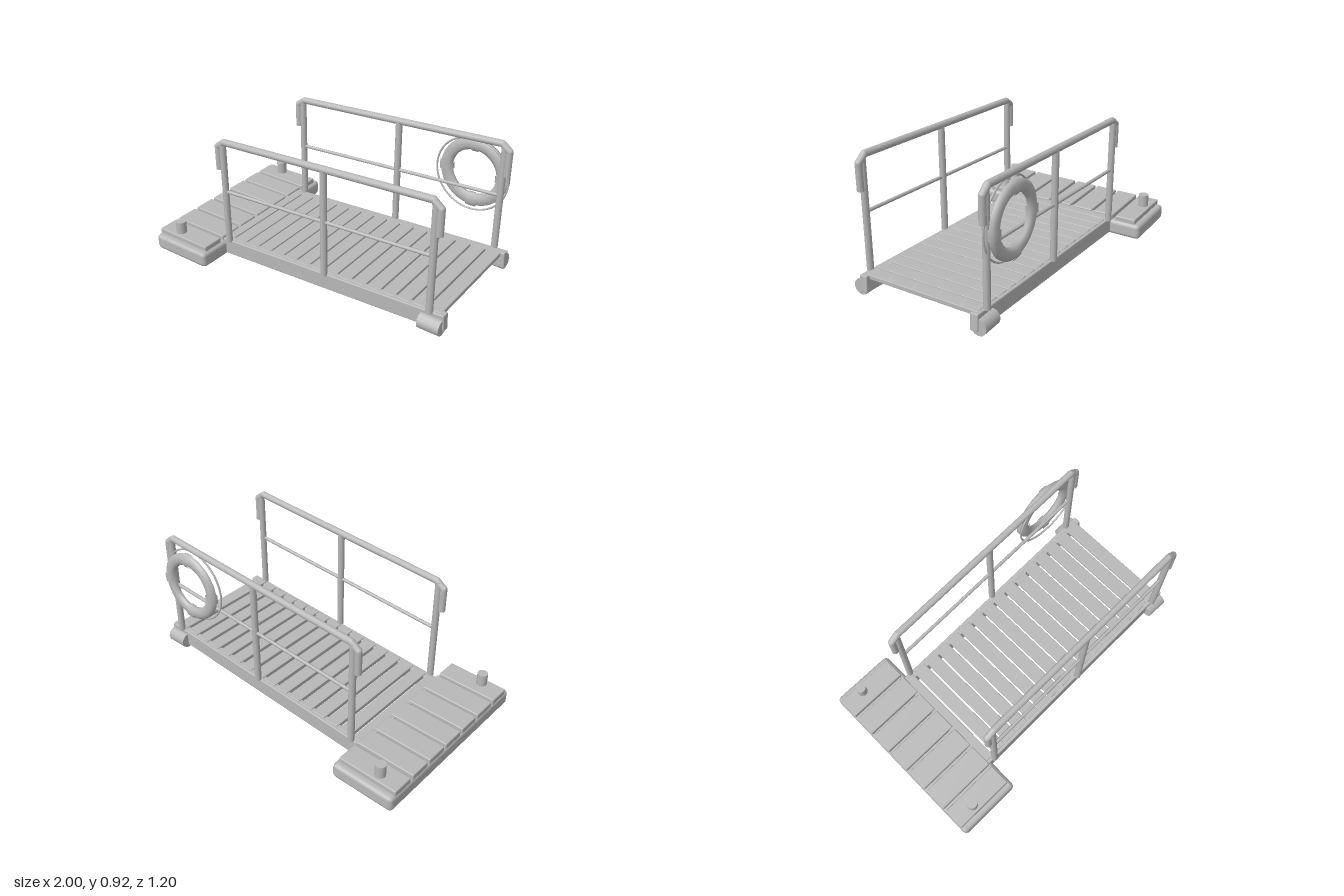
import * as THREE from 'three';
import { RoundedBoxGeometry } from 'three/addons/geometries/RoundedBoxGeometry.js';

export function createModel() {
  const model = new THREE.Group();
  model.name = 'gangway';
  const grey = new THREE.MeshStandardMaterial({ color: 0xb8b8b8 });
  grey.name = 'light grey';

  const add = (name, geometry, x = 0, y = 0, z = 0, parent = model) => {
    const mesh = new THREE.Mesh(geometry, grey);
    mesh.name = name;
    mesh.position.set(x, y, z);
    parent.add(mesh);
    return mesh;
  };
  // Box with chamfered edges
  const block = (w, h, d, r) => new RoundedBoxGeometry(w, h, d, 1, r);
  // Round bar between two points
  const bar = (name, a, b, r, parent, sides = 12) => {
    const dir = b.clone().sub(a);
    const mid = a.clone().add(b).multiplyScalar(0.5);
    const mesh = add(name, new THREE.CylinderGeometry(r, r, dir.length(), sides), mid.x, mid.y, mid.z, parent);
    mesh.quaternion.setFromUnitVectors(new THREE.Vector3(0, 1, 0), dir.normalize());
  };
  const slope = 0.061;
  const deckY = (x) => 0.151 + slope * x; // top edge of the stringers

  // Floating pontoon
  add('pontoon', block(0.42, 0.1, 1.2, 0.025), -0.79, 0.05, 0);

  // Pontoon planks
  [[-0.56, -0.42], [-0.4, -0.26], [-0.243, -0.1], [-0.082, 0.065],
    [0.085, 0.228], [0.247, 0.4], [0.42, 0.56]].forEach(([z0, z1]) =>
    add('pontoonPlank', block(0.395, 0.04, z1 - z0, 0.007), -0.798, 0.111, (z0 + z1) / 2));

  // Gangway slats, level and stepped along the slope
  for (let i = 0; i < 16; i++) {
    const x = -0.587 + i * 0.1007;
    add('deckSlat', block(0.087, 0.028, 0.75, 0.004), x, deckY(x) - 0.01, 0);
  }

  for (const side of [1, -1]) {
    const zRail = side * 0.393;
    const name = side > 0 ? 'front' : 'back';

    // Sloping stringer
    const stringer = add(name + 'Stringer', block(1.608, 0.103, 0.05, 0.006),
      0.192, deckY(0.192) - 0.0515, side * 0.37);
    stringer.rotation.z = Math.atan(slope);

    // Shore roller
    const roller = new THREE.CylinderGeometry(0.05, 0.05, 0.135, 12);
    roller.rotateZ(Math.PI / 2);
    add(name + 'Roller', roller, 0.919, 0.132, zRail);

    // Mooring bollard
    add(name + 'Bollard', new THREE.CylinderGeometry(0.033, 0.033, 0.09, 16), -0.853, 0.166, side * 0.51);

    // Railing: top rail with turned-down ends, posts and middle rail
    const railing = new THREE.Group();
    railing.name = name + 'Railing';
    model.add(railing);
    const path = [[-0.586, 0.62], [-0.586, 0.773], [-0.535, 0.81], [0.882, 0.895], [0.931, 0.856], [0.931, 0.697]]
      .map(([x, y]) => new THREE.Vector3(x, y, zRail));
    for (let i = 0; i < path.length - 1; i++) {
      bar('topRail', path[i], path[i + 1], 0.021, railing);
      if (i > 0) add('railJoint', new THREE.SphereGeometry(0.021, 12, 8), path[i].x, path[i].y, path[i].z, railing);
    }
    for (const x of [-0.549, 0.196, 0.902]) {
      bar('post', new THREE.Vector3(x, deckY(x) - 0.006, zRail),
        new THREE.Vector3(x, Math.min(0.842 + 0.06 * x, 0.883), zRail), 0.021, railing);
    }
    bar('middleRail', new THREE.Vector3(-0.549, 0.474, zRail), new THREE.Vector3(0.902, 0.563, zRail), 0.011, railing, 8);
  }

  // Life ring hung outside the back railing
  const ring = new THREE.Group();
  ring.name = 'lifeRing';
  ring.position.set(0.706, 0.642, -0.434);
  ring.rotation.x = Math.PI / 2;
  model.add(ring);
  // Eight-sided section swept round, counter-clockwise so that it faces outwards
  const sweep = (grow, segments, start, length) => {
    const points = [];
    for (let i = 0; i <= 8; i++) {
      const a = (i + 0.5) * Math.PI / 4;
      points.push(new THREE.Vector2(0.184 + Math.cos(a) * (0.039 + grow), Math.sin(a) * (0.025 + grow)));
    }
    return new THREE.LatheGeometry(points, segments, start, length);
  };
  add('ringBody', sweep(0, 40, 0, Math.PI * 2), 0, 0, 0, ring);
  for (let i = 0; i < 4; i++) {
    add('ringBand', sweep(0.007, 4, i * Math.PI / 2 - 0.15, 0.3), 0, 0, 0, ring);
  }
  // Grab line on the railing side of the ring
  const line = new THREE.TorusGeometry(0.235, 0.006, 6, 48);
  line.rotateX(Math.PI / 2);
  add('grabLine', line, 0, 0.032, 0, ring);

  return model;
}
